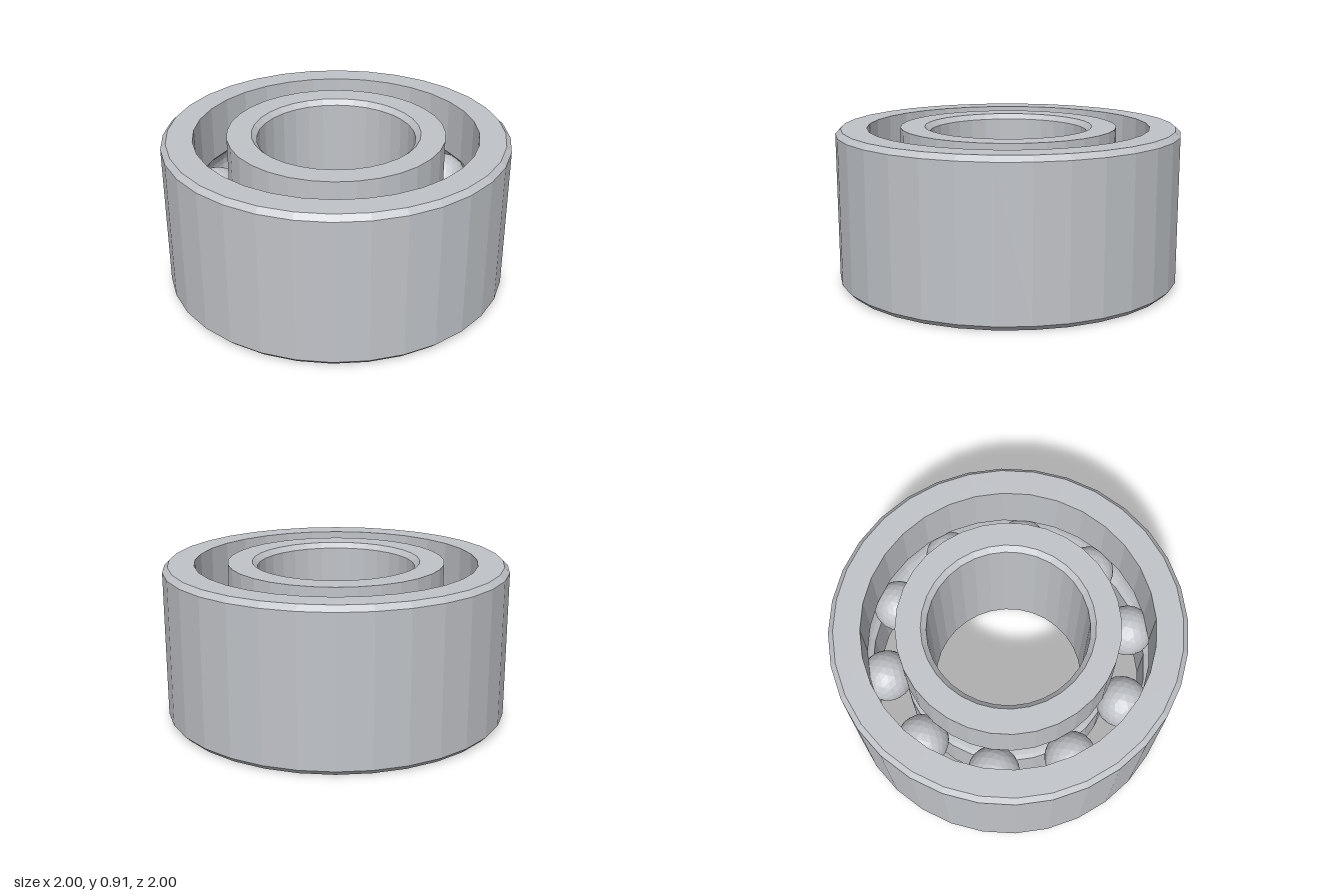
import * as THREE from 'three';

const HEIGHT = 0.91, MID = HEIGHT / 2, CHAMFER = 0.03;
const BALL_ORBIT = 0.727, BALL_RADIUS = 0.15, BALL_COUNT = 10;
const SEGMENTS = 32;

// Faceted copy of a geometry
function faceted(geometry) {
  const flat = geometry.index ? geometry.toNonIndexed() : geometry;
  flat.computeVertexNormals();
  return flat;
}

// Arc of the ball groove cut into a wall of the given radius; dir +1 runs upward
function groove(wall, dir) {
  const side = Math.sign(wall - BALL_ORBIT);
  const r = BALL_RADIUS + 0.003;
  const half = Math.acos(Math.abs(wall - BALL_ORBIT) / r);
  const points = [];
  for (let i = 0; i <= 8; i++) {
    const a = dir * half * (i / 4 - 1);
    points.push([BALL_ORBIT + side * r * Math.cos(a), MID + r * Math.sin(a)]);
  }
  return points;
}

// Closed profile, counter-clockwise in (radius, y), turned into a ring
function ring(name, profile, material) {
  const points = [...profile, profile[0]].map(([r, y]) => new THREE.Vector2(r, y));
  const mesh = new THREE.Mesh(faceted(new THREE.LatheGeometry(points, SEGMENTS)), material);
  mesh.name = name;
  return mesh;
}

export function createModel() {
  const model = new THREE.Group();
  model.name = 'ballBearing';
  const steel = new THREE.MeshStandardMaterial({ color: 0xc0c3c8 });
  steel.name = 'steel';

  // Outer ring, chamfered outside, grooved inside
  model.add(ring('outerRing', [
    [0.82, 0], [1 - CHAMFER, 0], [1, CHAMFER],
    [1, HEIGHT - CHAMFER], [1 - CHAMFER, HEIGHT], [0.82, HEIGHT],
    ...groove(0.82, -1),
  ], steel));

  // Inner ring, grooved outside, chamfered at the bore
  const bore = 0.457;
  model.add(ring('innerRing', [
    [bore + CHAMFER, 0], [0.628, 0],
    ...groove(0.628, 1),
    [0.628, HEIGHT], [bore + CHAMFER, HEIGHT],
    [bore, HEIGHT - CHAMFER], [bore, CHAMFER],
  ], steel));

  // Balls between the rings
  const balls = new THREE.Group();
  balls.name = 'balls';
  const ballGeometry = faceted(new THREE.IcosahedronGeometry(BALL_RADIUS, 3));
  for (let i = 0; i < BALL_COUNT; i++) {
    const a = (i / BALL_COUNT) * Math.PI * 2;
    const ball = new THREE.Mesh(ballGeometry, steel);
    ball.name = 'ball';
    ball.position.set(BALL_ORBIT * Math.cos(a), MID, BALL_ORBIT * Math.sin(a));
    balls.add(ball);
  }
  model.add(balls);
  return model;
}
